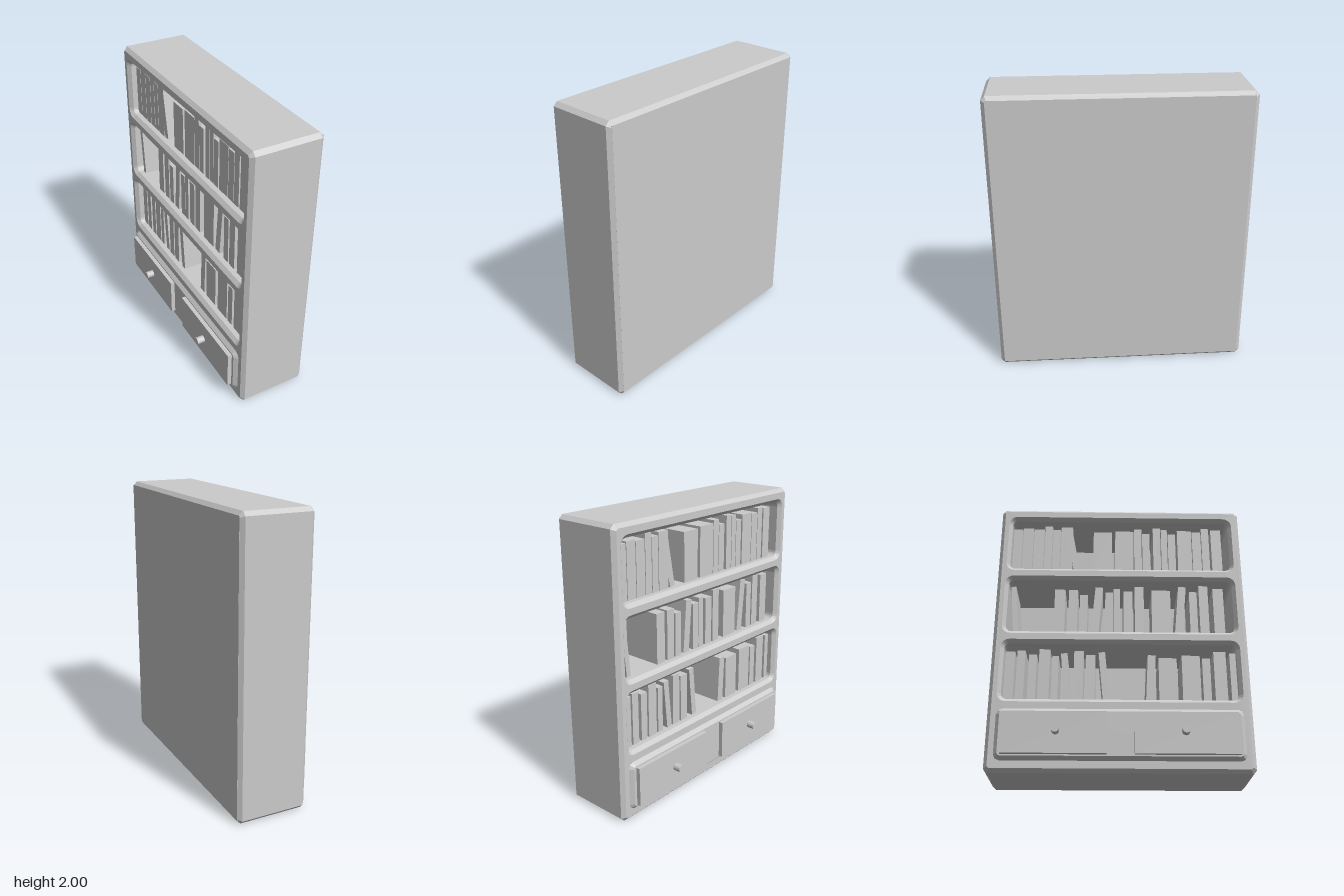
import * as THREE from 'three';

const material = new THREE.MeshStandardMaterial({ color: 0xcccccc, flatShading: true });

function add(parent, name, geometry, x = 0, y = 0, z = 0) {
  const mesh = new THREE.Mesh(geometry, material);
  mesh.name = name;
  mesh.position.set(x, y, z);
  parent.add(mesh);
  return mesh;
}

// Corner-rounded rectangle in the (z, y) plane; n steps per corner (1 = chamfer).
function roundedPoints(z0, z1, y0, y1, r, n) {
  const corners = [[z1 - r, y0 + r], [z1 - r, y1 - r], [z0 + r, y1 - r], [z0 + r, y0 + r]];
  return corners.flatMap(([cz, cy], k) => Array.from({ length: n + 1 }, (_, i) => {
    const a = (k - 1 + i / n) * Math.PI / 2;
    return new THREE.Vector2(cz + r * Math.cos(a), cy + r * Math.sin(a));
  }));
}

// Bevelled slab between two x planes, its outline lying in (z, y).
function slab(shape, xFront, xBack, bevel) {
  const g = new THREE.ExtrudeGeometry(shape, {
    depth: xBack - xFront - 2 * bevel, bevelSize: bevel, bevelThickness: bevel, bevelSegments: 1,
  });
  g.rotateY(-Math.PI / 2);
  g.translate(xBack - bevel, 0, 0);
  return g;
}

// Books per shelf, in hundredths: [thickness, height, gap before, lean].
const topRow = [
  [7, 36], [8, 37], [8, 36], [6, 39], [6, 36], [9, 38], [5, 35, 1, -18], [14, 34, 9], [14, 35, 2],
  [6, 37], [6, 33], [6, 38, 2], [5, 37], [6, 33], [11, 36, 1], [7, 35], [6, 38], [8, 37, 1],
];
const middleRow = [
  [4, 37, 4, -9], [8, 35, 24], [7, 35, 2], [6, 31, 1], [6, 37, 2, 8], [6, 33, 4], [5, 36], [7, 34, 2],
  [7, 38, 1], [14, 35, 5], [6, 38, 2, 9], [6, 34, 5], [7, 39, 1], [8, 37, 3],
];
const bottomRow = [
  [7, 36], [6, 37, 1], [6, 34, 2], [8, 38, 1], [5, 33, 1], [5, 35, 4, -9], [7, 37, 1],
  [7, 34, 1], [5, 36, 5, -9], [6, 34, 24, 5], [13, 32, 3], [13, 34, 3], [6, 32, 1], [9, 37, 2], [7, 36, 2],
];

function addBooks(parent, name, row, floor) {
  const group = new THREE.Group();
  group.name = name;
  let z = -0.79;
  for (const [thick, high, gap = 0, lean = 0] of row) {
    const t = thick / 100, h = high / 100;
    z += gap / 100;
    const depth = 0.27 + 0.02 * ((thick + high) % 3) / 2;
    const book = add(group, 'book', new THREE.BoxGeometry(depth, h, t - 0.005).translate(depth / 2, h / 2, 0),
      -0.14, floor + Math.abs(Math.sin(lean / 100)) * t / 2, z + t / 2);
    book.rotation.x = lean / 100;
    z += t;
  }
  parent.add(group);
}

export function createModel() {
  const model = new THREE.Group();
  model.name = 'bookcase';

  // Case with three rounded, chamfered openings facing -x
  const outline = new THREE.Shape(roundedPoints(-0.85, 0.85, 0.025, 1.975, 0.012, 1));
  const floors = [1.475, 0.975, 0.475];
  for (const y of floors) {
    outline.holes.push(new THREE.Path(roundedPoints(-0.82, 0.82, y, y + 0.455, 0.06, 4).reverse()));
  }
  add(model, 'case', slab(outline, -0.2, 0.3, 0.025));
  add(model, 'backPanel', new THREE.BoxGeometry(0.051, 1.95, 1.7), 0.275, 1, 0);

  // Books
  [topRow, middleRow, bottomRow].forEach((row, i) =>
    addBooks(model, ['topBooks', 'middleBooks', 'bottomBooks'][i], row, floors[i] + 0.025));

  // Raised drawer surround
  const surround = new THREE.Shape(roundedPoints(-0.79, 0.79, 0.1, 0.4, 0.02, 2));
  add(model, 'drawerSurround', slab(surround, -0.225, -0.165, 0.025));

  // Two drawers with knobs
  for (const side of [-1, 1]) {
    const drawer = new THREE.Group();
    drawer.name = side > 0 ? 'leftDrawer' : 'rightDrawer';
    add(drawer, 'drawerFront', new THREE.BoxGeometry(0.055, 0.28, 0.68), -0.2275, 0.25, side * 0.43);
    add(drawer, 'knob', new THREE.CylinderGeometry(0.026, 0.026, 0.06, 12).rotateZ(Math.PI / 2),
      -0.28, 0.257, side * 0.42);
    model.add(drawer);
  }
  return model;
}
